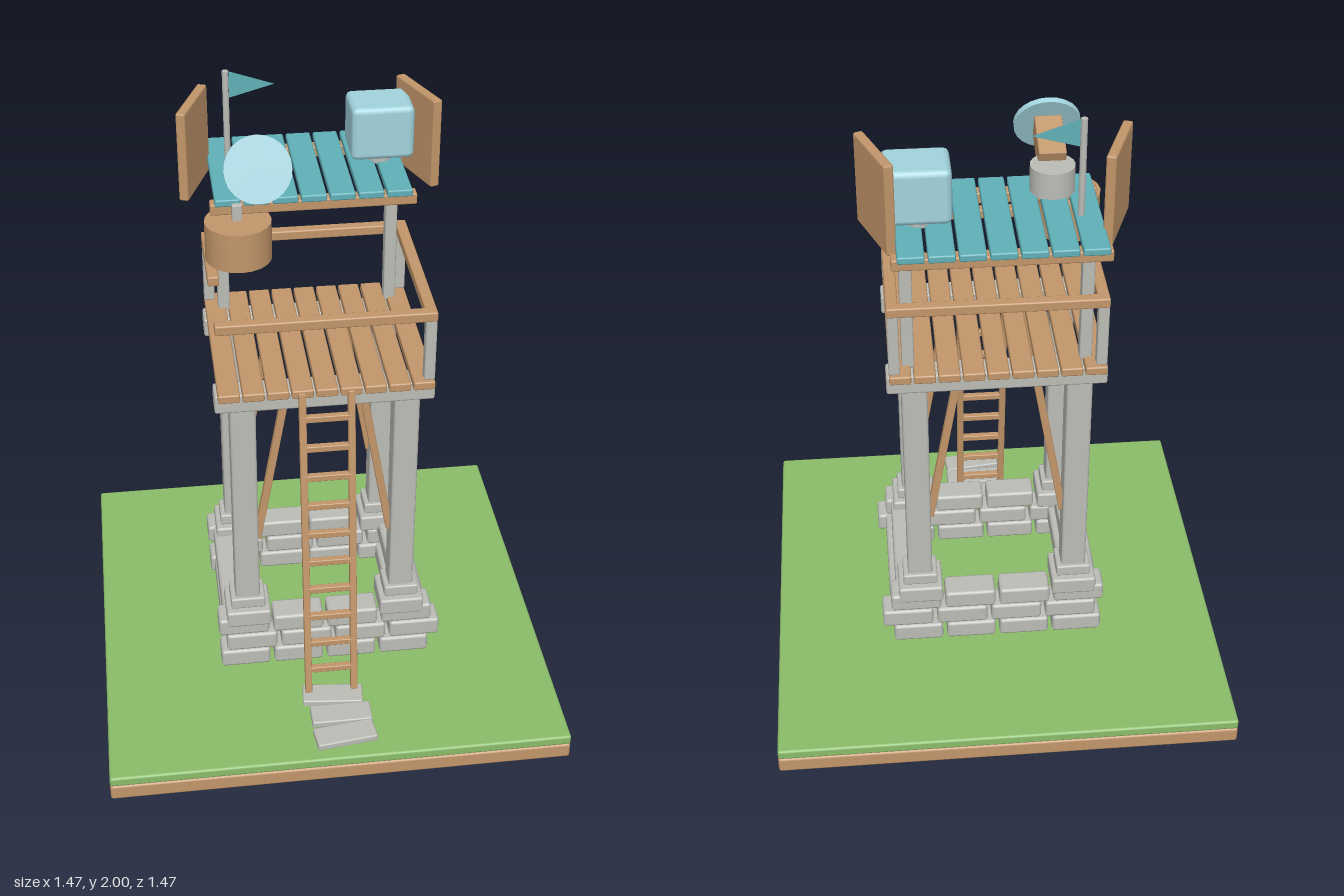
import * as THREE from 'three';
import { RoundedBoxGeometry } from 'three/addons/geometries/RoundedBoxGeometry.js';

const paint = (name, color, extra = {}) => {
  const m = new THREE.MeshStandardMaterial({ color, ...extra });
  m.name = name;
  return m;
};

export function createModel() {
  const wood = paint('wood', 0xc2966a);
  const stone = paint('stone', 0xbcbcb7);
  const grass = paint('grass', 0x8abc69);
  const teal = paint('teal', 0x60b0b8);
  const flagTeal = paint('teal cloth', 0x60b0b8, { side: THREE.DoubleSide });
  const glass = paint('pale blue', 0xa2d3dd);

  const model = new THREE.Group();
  model.name = 'watchtower';

  const group = (name) => {
    const g = new THREE.Group();
    g.name = name;
    model.add(g);
    return g;
  };
  const add = (parent, name, geometry, material, x, y, z) => {
    const mesh = new THREE.Mesh(geometry, material);
    mesh.name = name;
    mesh.position.set(x, y, z);
    parent.add(mesh);
    return mesh;
  };
  // softly bevelled box given by centre and size
  const box = (parent, name, mat, [x, y, z], [w, h, d], bevel = 0.005) =>
    add(parent, name, new RoundedBoxGeometry(w, h, d, 1, bevel), mat, x, y, z);
  // bar running between two points
  const bar = (parent, name, mat, a, b, w, d = w) => {
    const p = new THREE.Vector3(...a), q = new THREE.Vector3(...b);
    const mesh = box(parent, name, mat, [0, 0, 0], [w, p.distanceTo(q), d], 0.003);
    mesh.position.copy(p).add(q).multiplyScalar(0.5);
    mesh.quaternion.setFromUnitVectors(new THREE.Vector3(0, 1, 0), q.sub(p).normalize());
    return mesh;
  };

  // ground slab
  const ground = group('ground');
  box(ground, 'soil', wood, [0, 0.0275, 0], [1.47, 0.055, 1.47], 0.008);
  box(ground, 'turf', grass, [0, 0.0725, 0], [1.47, 0.035, 1.47], 0.008);

  // stepping stones
  const path = group('path');
  [[0, 0.465, -0.1], [0.016, 0.555, 0], [0.017, 0.645, 0.12]].forEach(([x, z, turn]) => {
    box(path, 'steppingStone', stone, [x, 0.1, z], [0.195, 0.024, 0.08]).rotation.y = turn;
  });

  // three courses of stone: short blocks front and back, long blocks on the sides
  const wall = group('stoneWall');
  [[-0.355, 0.177], [-0.335, 0.181], [-0.36, 0.18]].forEach(([start, pitch], row) => {
    const y = 0.135 + row * 0.068;
    for (const s of [-1, 1]) {
      for (let i = 0; i < 4; i++) {
        box(wall, 'block', stone, [start + pitch * (i + 0.5), y, s * 0.247],
          [pitch - 0.014, 0.064, 0.09], 0.01);
      }
      box(wall, 'sideBlock', stone, [s * 0.29 + (row === 1 ? 0.02 : 0), y, 0], [0.09, 0.064, 0.44], 0.01);
    }
  });

  // pillars on stepped feet, with diagonal braces
  const frame = group('frame');
  for (const sz of [-1, 1]) {
    const z = sz * 0.222;
    for (const sx of [-1, 1]) {
      const x = sx * 0.253;
      box(frame, 'pillarFoot', stone, [x, 0.305, z], [0.145, 0.06, 0.145], 0.008);
      box(frame, 'pillarCollar', stone, [x, 0.355, z], [0.112, 0.04, 0.1], 0.006);
      box(frame, 'pillar', stone, [x, 0.74, z], [0.08, 0.8, 0.076], 0.008);
      bar(frame, 'brace', wood, [sx * 0.215, 0.59, z], [sx * 0.12, 1.13, z], 0.024);
    }
    box(frame, 'crossBeam', stone, [0, 1.14, z], [0.675, 0.064, 0.08], 0.007);
  }

  // deck planks
  const deck = group('deck');
  for (let i = 0; i < 9; i++) {
    box(deck, 'deckPlank', wood, [(i - 4) * 0.0738, 1.187, 0], [0.066, 0.028, 0.61]);
  }

  // railing: one corner post missing, right rail broken short
  const railing = group('railing');
  for (const [x, z] of [[0.312, 0.274], [0.312, -0.274], [-0.312, -0.274]]) {
    box(railing, 'railPost', stone, [x, 1.305, z], [0.034, 0.21, 0.034]);
  }
  for (const z of [-0.274, 0.274]) {
    box(railing, 'rail', wood, [0, 1.42, z], [0.66, 0.032, 0.036]);
  }
  box(railing, 'leftRail', wood, [0.312, 1.42, 0], [0.036, 0.032, 0.57]);
  box(railing, 'rightRail', wood, [-0.312, 1.42, -0.14], [0.036, 0.032, 0.29]);

  // leaning ladder
  const ladder = group('ladder');
  const ladderZ = (y) => 0.452 - (y - 0.12) * 0.137;
  for (const x of [-0.077, 0.072]) {
    bar(ladder, 'ladderRail', wood, [x, 0.115, ladderZ(0.115)], [x, 1.195, ladderZ(1.195)], 0.022);
  }
  for (let i = 0; i < 10; i++) {
    const y = 0.203 + i * 0.1005;
    box(ladder, 'rung', wood, [-0.0025, y, ladderZ(y)], [0.165, 0.021, 0.021], 0.003);
  }

  // roof on two rear posts
  const roof = group('roof');
  for (const sx of [-1, 1]) {
    box(roof, 'roofPost', stone, [sx * 0.269, 1.425, -0.224], [0.038, 0.47, 0.04]);
  }
  for (const z of [-0.387, -0.032]) {
    box(roof, 'roofBeam', wood, [0, 1.655, z], [0.625, 0.036, 0.042]);
  }
  for (let i = 0; i < 7; i++) {
    box(roof, 'roofPlank', teal, [-0.002 + (i - 3) * 0.0863, 1.684, -0.213], [0.077, 0.023, 0.437]);
  }

  // angled side boards
  for (const s of [-1, 1]) {
    box(model, 'sideBoard', wood, [s * 0.345, 1.782, -0.219], [0.03, 0.285, 0.228], 0.006).rotation.y = s * 0.36;
  }

  // pale tank on a short stand
  const tank = group('tank');
  add(tank, 'tankStand', new THREE.CylinderGeometry(0.04, 0.04, 0.04, 16), stone, 0.228, 1.71, -0.23);
  box(tank, 'tankBody', glass, [0.228, 1.805, -0.23], [0.194, 0.17, 0.16], 0.018);

  // searchlight: round base, tilted housing and lens
  const lamp = group('searchlight');
  add(lamp, 'lampBase', new THREE.CylinderGeometry(0.067, 0.067, 0.085, 20), stone, -0.175, 1.735, -0.083);
  const head = new THREE.Group();
  head.name = 'lampHead';
  head.position.set(-0.176, 1.828, 0.08);
  head.rotation.x = -0.385;
  lamp.add(head);
  box(head, 'lampHousing', wood, [0, 0, -0.08], [0.082, 0.083, 0.145], 0.004);
  add(head, 'lens', new THREE.CylinderGeometry(0.1, 0.1, 0.018, 24), glass, 0, 0, 0).rotation.x = Math.PI / 2;

  // hanging barrel
  const barrel = group('barrel');
  add(barrel, 'barrelBody', new THREE.CylinderGeometry(0.101, 0.101, 0.124, 20), wood, -0.233, 1.572, 0.016);
  box(barrel, 'barrelHanger', stone, [-0.235, 1.655, 0.006], [0.03, 0.06, 0.034], 0.003);

  // flagpole and pennant
  const flag = group('flag');
  add(flag, 'flagpole', new THREE.CylinderGeometry(0.01, 0.01, 0.32, 10), stone, -0.24, 1.84, -0.238);
  const pennant = new THREE.Shape([[0, 0], [0.137, -0.047], [0, -0.085]].map((p) => new THREE.Vector2(...p)));
  add(flag, 'pennant', new THREE.ShapeGeometry(pennant), flagTeal, -0.23, 1.998, -0.238);

  return model;
}
